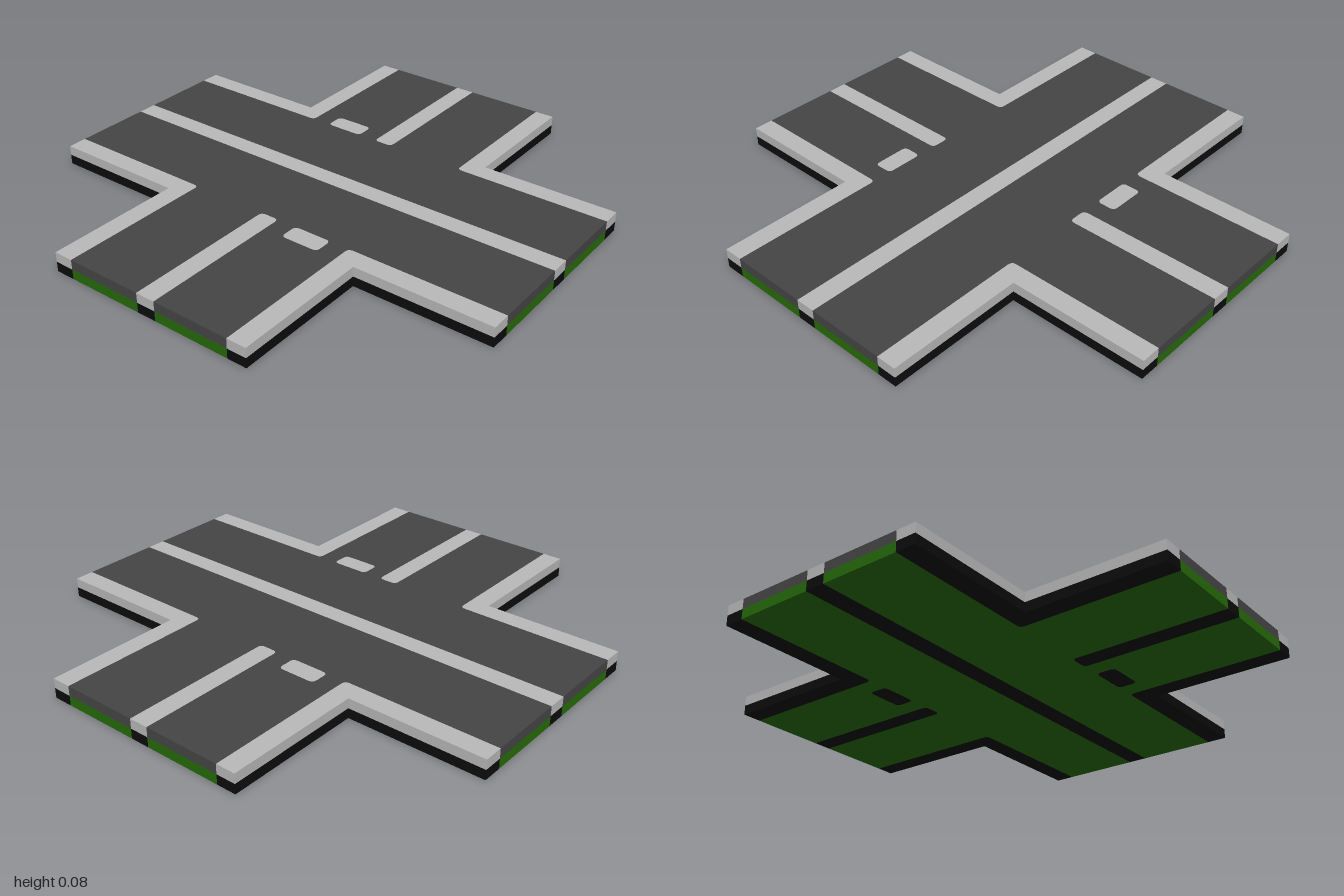
import * as THREE from 'three';

const END = 1, OUTER = 0.44, INNER = 0.36, MID = 0.04, R = 0.02, LAYER = 0.04;

const mat = (name, color) => new THREE.MeshStandardMaterial({ name, color });

// Shape from [x, z] points; a third value marks a rounded corner's radius
function outline(points, Type = THREE.Shape) {
  const s = new Type();
  points.forEach(([x, z, r], i) => {
    const go = (px, pz) => (i === 0 ? s.moveTo(px, pz) : s.lineTo(px, pz));
    if (!r) return go(x, z);
    const n = points.length;
    const toward = ([px, pz]) => {
      const d = Math.hypot(px - x, pz - z);
      return [x + ((px - x) * r) / d, z + ((pz - z) * r) / d];
    };
    const a = toward(points[(i + n - 1) % n]), b = toward(points[(i + 1) % n]);
    go(...a);
    s.quadraticCurveTo(x, z, ...b);
  });
  s.closePath();
  return s;
}

const island = [[0.12, INNER, R], [0.28, INNER, R], [0.28, OUTER, R], [0.12, OUTER, R]];

export function createModel() {
  const model = new THREE.Group();
  model.name = 'crossroads';
  const kerb = mat('kerb grey', 0xb8b8b8);
  const asphalt = mat('asphalt', 0x454545);
  const black = mat('kerb base black', 0x0c0c0c);
  const green = mat('road base green', 0x266a0a);

  // Every part is two stacked slabs: a surface layer on a base layer
  function slab(parent, name, shape, topMat, baseMat) {
    [[name + 'Base', LAYER, baseMat], [name + 'Surface', 2 * LAYER, topMat]].forEach(([label, top, m]) => {
      const geo = new THREE.ExtrudeGeometry(shape, { depth: LAYER, bevelEnabled: false, curveSegments: 4 });
      geo.rotateX(Math.PI / 2).translate(0, top, 0);
      const mesh = new THREE.Mesh(geo, m);
      mesh.name = label;
      parent.add(mesh);
    });
  }

  // Median running the full width
  slab(model, 'mainMedian', outline([[-END, -MID], [END, -MID], [END, MID], [-END, MID]]), kerb, black);

  // The back half is the front half turned by 180 degrees
  ['frontHalf', 'backHalf'].forEach((name, i) => {
    const half = new THREE.Group();
    half.name = name;
    half.rotation.y = i * Math.PI;

    // T-shaped road, notched for the side median and holed for the island
    const road = outline([
      [-END, MID], [END, MID], [END, INNER], [INNER, INNER, R], [INNER, END],
      [MID, END], [MID, INNER, R], [-MID, INNER, R], [-MID, END],
      [-INNER, END], [-INNER, INNER, R], [-END, INNER],
    ]);
    road.holes.push(outline(island, THREE.Path));
    slab(half, 'road', road, asphalt, green);

    // Side median and traffic island
    slab(half, 'sideMedian', outline([[-MID, INNER, R], [MID, INNER, R], [MID, END], [-MID, END]]), kerb, black);
    slab(half, 'island', outline(island), kerb, black);

    // L-shaped corner kerbs
    [1, -1].forEach((s) => {
      const corner = [[INNER, INNER, R], [END, INNER], [END, OUTER], [OUTER, OUTER], [OUTER, END], [INNER, END]];
      slab(half, s > 0 ? 'leftKerb' : 'rightKerb', outline(corner.map(([x, z, r]) => [s * x, z, r])), kerb, black);
    });
    model.add(half);
  });

  return model;
}
